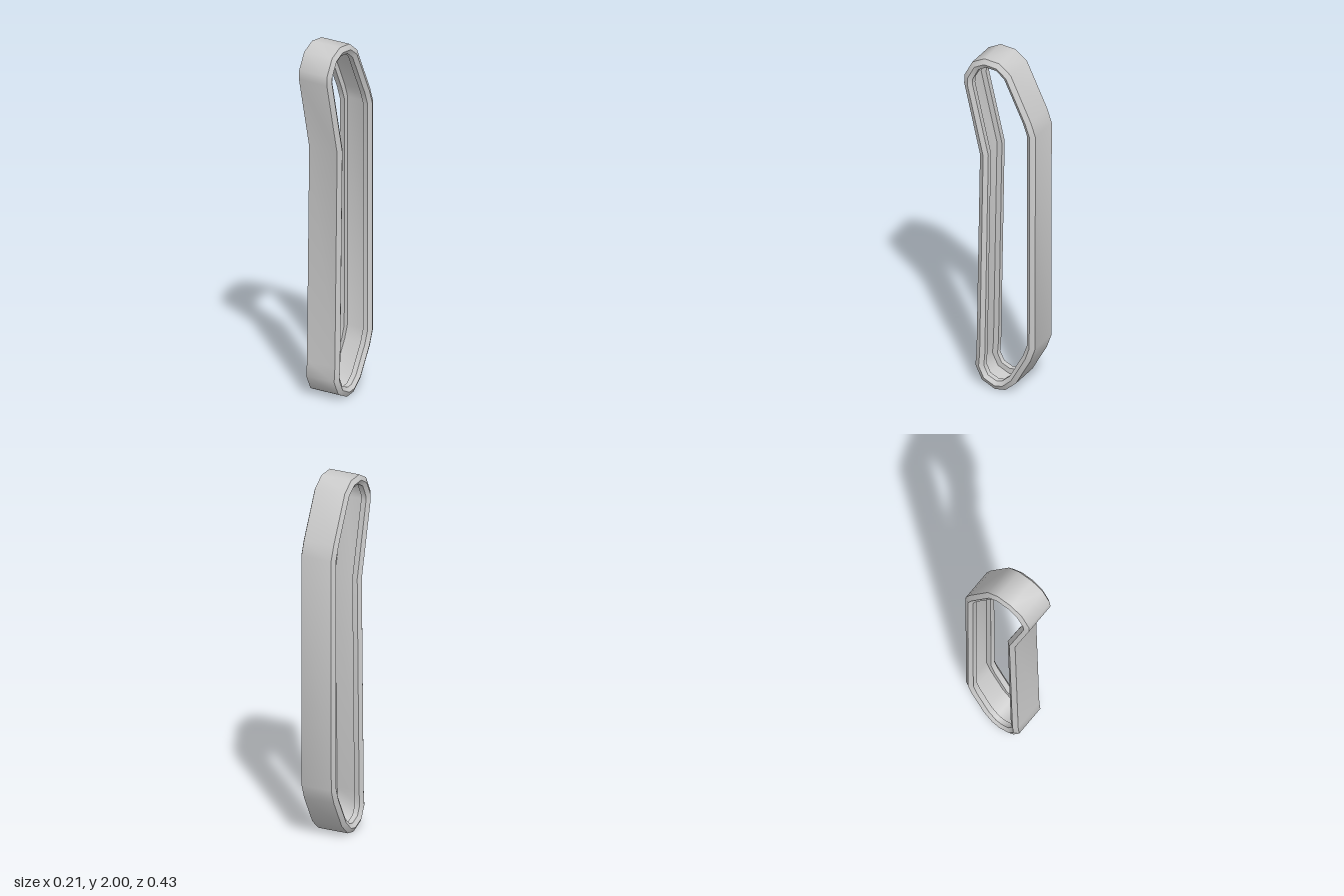
import * as THREE from 'three';
import { toCreasedNormals } from 'three/addons/utils/BufferGeometryUtils.js';

// Outer outline of the band as [z, y], up the front and down the back
const outline = [
  [0.12, 1.41], [0.216, 1.82], [0.214, 1.87], [0.167, 1.96], [0.093, 2.0], [0.003, 1.993],
  [-0.066, 1.94], [-0.188, 1.685], [-0.216, 1.605], [-0.214, 0.308], [-0.186, 0.228],
  [-0.098, 0.069], [-0.034, 0.011], [0.029, 0], [0.109, 0.037], [0.148, 0.117], [0.141, 0.2],
];

// Cross-section as [x, depth inward]: chamfered rims with a shallow recess inside
const section = [
  [0.09, 0], [-0.09, 0], [-0.105, 0.027], [-0.09, 0.05], [-0.06, 0.05],
  [-0.06, 0.02], [0.06, 0.02], [0.06, 0.05], [0.09, 0.05], [0.105, 0.027],
];

// Mitred inward direction at each outline point
function inwardDirections(points) {
  const n = points.length;
  const normal = (a, b) => new THREE.Vector2(a[1] - b[1], b[0] - a[0]).normalize();
  return points.map((p, i) => {
    const n1 = normal(points[(i + n - 1) % n], p);
    const n2 = normal(p, points[(i + 1) % n]);
    const mitre = n1.clone().add(n2).normalize();
    return mitre.divideScalar(mitre.dot(n1));
  });
}

// Sweep the closed cross-section around the closed outline
function sweepBand() {
  const inward = inwardDirections(outline);
  const n = outline.length, m = section.length;
  const positions = [], indices = [];
  outline.forEach(([z, y], i) => {
    for (const [x, depth] of section) {
      positions.push(x, y + inward[i].y * depth, z + inward[i].x * depth);
    }
  });
  for (let i = 0; i < n; i++) {
    for (let j = 0; j < m; j++) {
      const i2 = (i + 1) % n, j2 = (j + 1) % m;
      const a = i * m + j, b = i2 * m + j, c = i2 * m + j2, d = i * m + j2;
      indices.push(a, b, c, a, c, d);
    }
  }
  const geometry = new THREE.BufferGeometry();
  geometry.setAttribute('position', new THREE.Float32BufferAttribute(positions, 3));
  geometry.setIndex(indices);
  return toCreasedNormals(geometry, 0.9);
}

export function createModel() {
  const group = new THREE.Group();
  const band = new THREE.Mesh(sweepBand(), new THREE.MeshStandardMaterial({ color: 0xcccccc }));
  band.name = 'band';
  group.add(band);
  return group;
}
